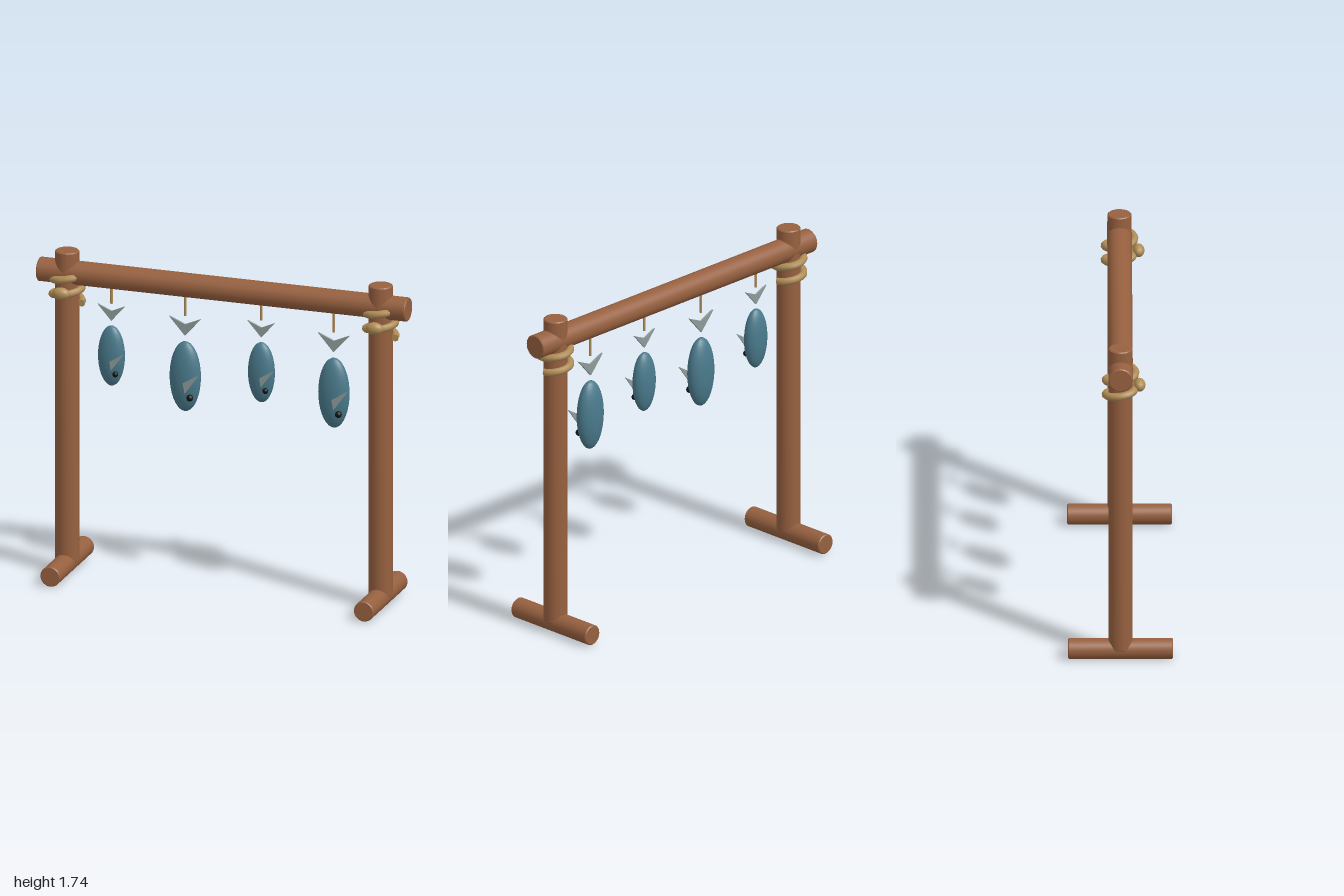
import * as THREE from 'three';
import { toCreasedNormals } from 'three/addons/utils/BufferGeometryUtils.js';

const mat = (name, color) => Object.assign(new THREE.MeshStandardMaterial({ color }), { name });

export function createModel() {
  const wood = mat('wood', 0x96603f);
  const rope = mat('rope', 0xb08d57);
  const skin = mat('fishSkin', 0x4a7a8c);
  const finGrey = mat('finGrey', 0x8e9c9a);
  const black = mat('eyeBlack', 0x111111);

  const model = new THREE.Group();
  model.name = 'fishDryingRack';

  const add = (parent, name, geometry, material, x = 0, y = 0, z = 0) => {
    const mesh = new THREE.Mesh(geometry, material);
    mesh.name = name;
    mesh.position.set(x, y, z);
    parent.add(mesh);
    return mesh;
  };

  // Round log along y with a slight chamfer at both ends
  const log = (r, length) => {
    const h = length / 2, b = 0.005;
    const profile = [[0, -h], [r - b, -h], [r, -h + b], [r, h - b], [r - b, h], [0, h]]
      .map(([x, y]) => new THREE.Vector2(x, y));
    return toCreasedNormals(new THREE.LatheGeometry(profile, 28), 0.6);
  };

  // Flat plate cut from an outline, centred on z = 0
  const plate = (points, thickness) => {
    const shape = new THREE.Shape(points.map(([x, y]) => new THREE.Vector2(x, y)));
    return new THREE.ExtrudeGeometry(shape, { depth: thickness, bevelEnabled: false })
      .translate(0, 0, -thickness / 2);
  };

  // Crossbeam
  add(model, 'crossbeam', log(0.063, 2), wood, 0, 1.618, 0).rotation.z = -Math.PI / 2;

  // Rope lashing: two turns around the post
  const coil = [];
  for (let i = 0; i <= 32; i++) {
    const t = (i / 32) * Math.PI * 4;
    coil.push(new THREE.Vector3(0.077 * Math.cos(t), 1.457 + 0.16 * i / 32, -0.077 * Math.sin(t)));
  }
  const coilGeometry = new THREE.TubeGeometry(new THREE.CatmullRomCurve3(coil), 56, 0.02, 8);

  for (const side of [-1, 1]) {
    const frame = new THREE.Group();
    frame.name = side < 0 ? 'rightSupport' : 'leftSupport';
    frame.position.x = side * 0.85;
    model.add(frame);
    add(frame, 'post', log(0.062, 1.675), wood, 0, 0.8975, 0);
    add(frame, 'foot', log(0.0535, 0.536), wood, 0, 0.0535, 0).rotation.x = Math.PI / 2;
    add(frame, 'ropeLashing', coilGeometry, rope);
    // Rope end caps
    for (const p of [coil[0], coil[32]]) {
      const cap = add(frame, 'ropeEnd', new THREE.CircleGeometry(0.02, 8), rope, p.x, p.y, p.z);
      if (p === coil[32]) cap.rotation.y = Math.PI;
    }
    add(frame, 'ropeKnot', new THREE.SphereGeometry(1, 16, 12), rope, 0, 1.53, 0.098)
      .scale.set(0.047, 0.033, 0.03);
  }

  // Hanging fish, head down: x, body centre height, size, string bottom
  const fishList = [
    [-0.61, 1.192, 0.86, 1.473],
    [-0.21, 1.125, 1, 1.452],
    [0.203, 1.192, 0.86, 1.473],
    [0.596, 1.125, 1, 1.452],
  ];
  const tail = plate([[0, 0.219], [0.086, 0.317], [0, 0.28], [-0.086, 0.317]], 0.012);
  const fin = plate([[0.008, -0.02], [0.018, -0.075], [0.1, 0.037]], 0.006);

  for (const [x, y, size, stringBottom] of fishList) {
    const length = 1.58 - stringBottom;
    add(model, 'string', new THREE.CylinderGeometry(0.007, 0.007, length, 8), rope,
      x, stringBottom + length / 2, 0);

    const fish = new THREE.Group();
    fish.name = 'fish';
    fish.position.set(x, y, 0);
    fish.scale.setScalar(size);
    model.add(fish);
    add(fish, 'body', new THREE.SphereGeometry(1, 24, 18), skin).scale.set(0.083, 0.188, 0.054);
    add(fish, 'tail', tail, finGrey);
    add(fish, 'sideFin', fin, finGrey, 0, 0, 0.061);
    add(fish, 'eye', new THREE.SphereGeometry(0.018, 12, 8), black, 0.039, -0.101, 0.042);
  }

  return model;
}
